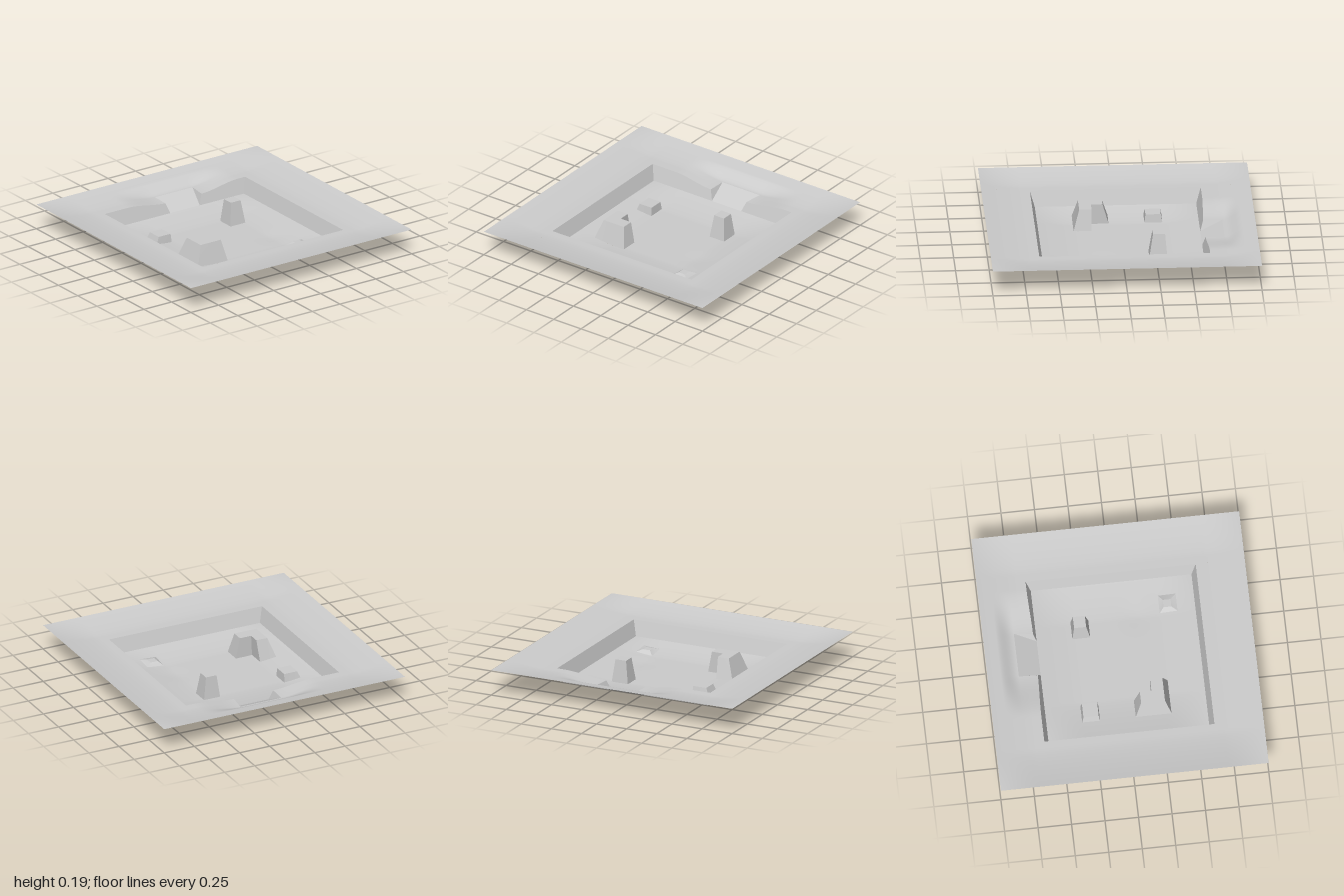
import * as THREE from 'three';
import { mergeGeometries } from 'three/addons/utils/BufferGeometryUtils.js';

const { lerp, clamp, smoothstep } = THREE.MathUtils;
const CELL = 2 / 15, PIT = 0.6, RIM = 0.635, RAMP_Z = -0.765;
const FLOOR_EDGE = 0.04, PLATEAU = 0.155;
const material = new THREE.MeshStandardMaterial({ color: 0xcccccc, side: THREE.DoubleSide });

// Height of the ground outside the pit: rises to the border, sinks around the ramp
const border = (u) => Math.pow(Math.max(0, (Math.abs(u) - 0.7) / 0.3), 1.5);
function groundY(x, z) {
  const y = PLATEAU + 0.04 * (1 - (1 - border(x)) * (1 - border(z)));
  const wx = 1 - smoothstep(Math.abs(x - 0.075), 0.16, 0.5);
  const wz = z > 0 ? 0 : 1 - smoothstep(-z, 0.765, 0.9);
  return lerp(y, 0.118, wx * wz);
}

// Height of the dished pit floor, with one shallow hollow
const dish = (u) => 1 - Math.pow(Math.max(0, (Math.abs(u) - 0.3) / 0.3), 1.5);
function floorY(x, z) {
  const hollow = 0.004 * Math.exp(-((x - 0.33) ** 2 + (z - 0.15) ** 2) / 0.01);
  return FLOOR_EDGE - 0.036 * dish(x) * dish(z) - hollow;
}

// Surface patch from f(u, v) -> [x, y, z]; normals follow du x dv
function patch(nu, nv, f) {
  const pos = [], nor = [], idx = [], e = 0.002;
  const at = (u, v) => new THREE.Vector3(...f(u, v));
  for (let i = 0; i <= nu; i++) {
    for (let j = 0; j <= nv; j++) {
      const u = i / nu, v = j / nv;
      pos.push(...f(u, v));
      const cu = clamp(u, e, 1 - e), cv = clamp(v, e, 1 - e);
      const du = at(cu + e, cv).sub(at(cu - e, cv));
      const dv = at(cu, cv + e).sub(at(cu, cv - e));
      nor.push(...du.normalize().cross(dv.normalize()).normalize().toArray());
      if (i < nu && j < nv) {
        const a = i * (nv + 1) + j, b = a + nv + 1;
        idx.push(a, b, a + 1, b, b + 1, a + 1);
      }
    }
  }
  const g = new THREE.BufferGeometry();
  g.setAttribute('position', new THREE.Float32BufferAttribute(pos, 3));
  g.setAttribute('normal', new THREE.Float32BufferAttribute(nor, 3));
  g.setIndex(idx);
  return g;
}

// Patch of a height function between two z lines and two x lines
const field = (nz, nx, h, z0, z1, x0, x1) => patch(nz, nx, (u, v) => {
  const x = lerp(x0, x1, v), z = lerp(z0, z1, u);
  return [x, h(x, z), z];
});

// Wall spanning a lower and an upper edge curve
const wall = (n, low, high) => patch(n, 3, (u, v) => {
  const a = low(u), b = high(u);
  return a.map((c, k) => lerp(c, b[k], v));
});

function addPart(parent, name, geometries) {
  const mesh = new THREE.Mesh(mergeGeometries(geometries), material);
  mesh.name = name;
  parent.add(mesh);
}

// Top edge of the back wall, leaning outward with its height
const backTop = (x) => {
  const y = groundY(x, -RIM);
  return -PIT - (RIM - PIT) * (y - FLOOR_EDGE) / (PLATEAU - FLOOR_EDGE);
};
// The two sides of the ramp: bottom start, top start and the point where they meet
const sides = [
  { s: -1, low: -0.067, high: -0.095, tip: -0.09 },
  { s: 1, low: 0.2, high: 0.232, tip: 0.25 },
];

// Tapered block; outlines run counter-clockwise seen from above
function addBlock(parent, name, base, top, y) {
  const parts = base.map((p, i) => {
    const k = (i + 1) % base.length;
    const mix = (a, b, t) => [lerp(a[0], b[0], t), lerp(a[1], b[1], t)];
    const low = (u) => { const [x, z] = mix(p, base[k], u); return [x, floorY(x, z), z]; };
    const high = (u) => { const [x, z] = mix(top[i], top[k], u); return [x, y, z]; };
    return wall(4, low, high);
  });
  const cap = new THREE.ShapeGeometry(new THREE.Shape(top.map(([x, z]) => new THREE.Vector2(x, -z))));
  cap.rotateX(-Math.PI / 2).translate(0, y, 0).deleteAttribute('uv');
  addPart(parent, name, [...parts, cap]);
}
const rect = (x0, x1, z0, z1) => [[x0, z1], [x1, z1], [x1, z0], [x0, z0]];
const cell = (i) => -PIT + i * CELL;

export function createModel() {
  const model = new THREE.Group();
  model.name = 'sunkenCourt';

  // Ground around the pit
  const ground = [
    field(60, 16, groundY, -1, 1, -1, -RIM),
    field(60, 16, groundY, -1, 1, RIM, 1),
    field(16, 30, groundY, RIM, 1, -RIM, RIM),
    field(14, 14, groundY, -1, RAMP_Z, sides[0].tip, sides[1].tip),
  ];
  for (const { s, high, tip } of sides) {
    const xs = (t, inner) => (s < 0 ? lerp(-RIM, inner, t) : lerp(inner, RIM, t));
    ground.push(field(14, 20, groundY, -1, RAMP_Z, xs(0, tip), xs(1, tip)));
    ground.push(patch(8, 20, (u, v) => {
      const x = xs(v, lerp(tip, high, u));
      const z = lerp(RAMP_Z, backTop(x), u);
      return [x, groundY(x, z), z];
    }));
  }
  addPart(model, 'ground', ground);

  // Pit floor, open beneath each block
  const open = ['1,2', '6,2', '1,5', '1,6', '2,6', '7,7'];
  const floor = [];
  for (let i = 0; i < 9; i++) {
    for (let j = 0; j < 9; j++) {
      if (open.includes(`${i},${j}`)) continue;
      floor.push(field(4, 4, floorY, cell(j), cell(j + 1), cell(i), cell(i + 1)));
    }
  }
  addPart(model, 'pitFloor', floor);

  // Ramp climbing out at the back
  const rampPoint = (x, t) => [x, lerp(FLOOR_EDGE, groundY(x, RAMP_Z), t), lerp(-PIT, RAMP_Z, t)];
  const rampX = (side, t) => lerp(side.low, side.tip, t);
  addPart(model, 'ramp', [patch(10, 14, (u, v) =>
    rampPoint(lerp(rampX(sides[0], 1 - u), rampX(sides[1], 1 - u), v), 1 - u))]);

  // Straight pit walls: left, front and right
  const walls = [];
  const corners = [[-1, -1], [-1, 1], [1, 1], [1, -1]];
  for (let i = 0; i < 3; i++) {
    const [a, b] = [corners[i], corners[i + 1]];
    const edge = (r, y) => (u) => [r * lerp(b[0], a[0], u), y, r * lerp(b[1], a[1], u)];
    walls.push(wall(1, edge(PIT, FLOOR_EDGE), edge(RIM, PLATEAU)));
  }
  // Back walls beside the ramp, and the ramp's own side walls
  for (const side of sides) {
    const { s, low, high, tip } = side;
    const dir = (u) => (s < 0 ? u : 1 - u);
    walls.push(wall(24,
      (u) => [lerp(s * PIT, low, dir(u)), FLOOR_EDGE, -PIT],
      (u) => {
        const x = lerp(s * RIM, high, dir(u));
        return [x, groundY(x, -RIM), backTop(x)];
      }));
    walls.push(wall(10,
      (u) => rampPoint(rampX(side, dir(u)), dir(u)),
      (u) => {
        const x = lerp(high, tip, dir(u)), z = lerp(backTop(high), RAMP_Z, dir(u));
        return [x, groundY(x, z), z];
      }));
  }
  addPart(model, 'pitWalls', walls);

  // Blocks standing on the floor
  const square = (i, j) => rect(cell(i), cell(i + 1), cell(j), cell(j + 1));
  addBlock(model, 'lowBlock', square(1, 2), rect(-0.446, -0.338, -0.322, -0.208), 0.07);
  addBlock(model, 'tallBlock', square(6, 2), rect(0.222, 0.31, -0.318, -0.228), 0.18);
  addBlock(model, 'smallBlock', square(7, 7), rect(0.366, 0.424, 0.366, 0.424), 0.035);
  const corner = (x0, x1, x2, z0, z1, z2) =>
    [[x0, z2], [x2, z2], [x2, z1], [x1, z1], [x1, z0], [x0, z0]];
  addBlock(model, 'cornerBlock',
    corner(cell(1), cell(2), cell(3), cell(5), cell(6), cell(7)),
    corner(-0.415, -0.325, -0.232, 0.112, 0.198, 0.29), 0.165);

  return model;
}
